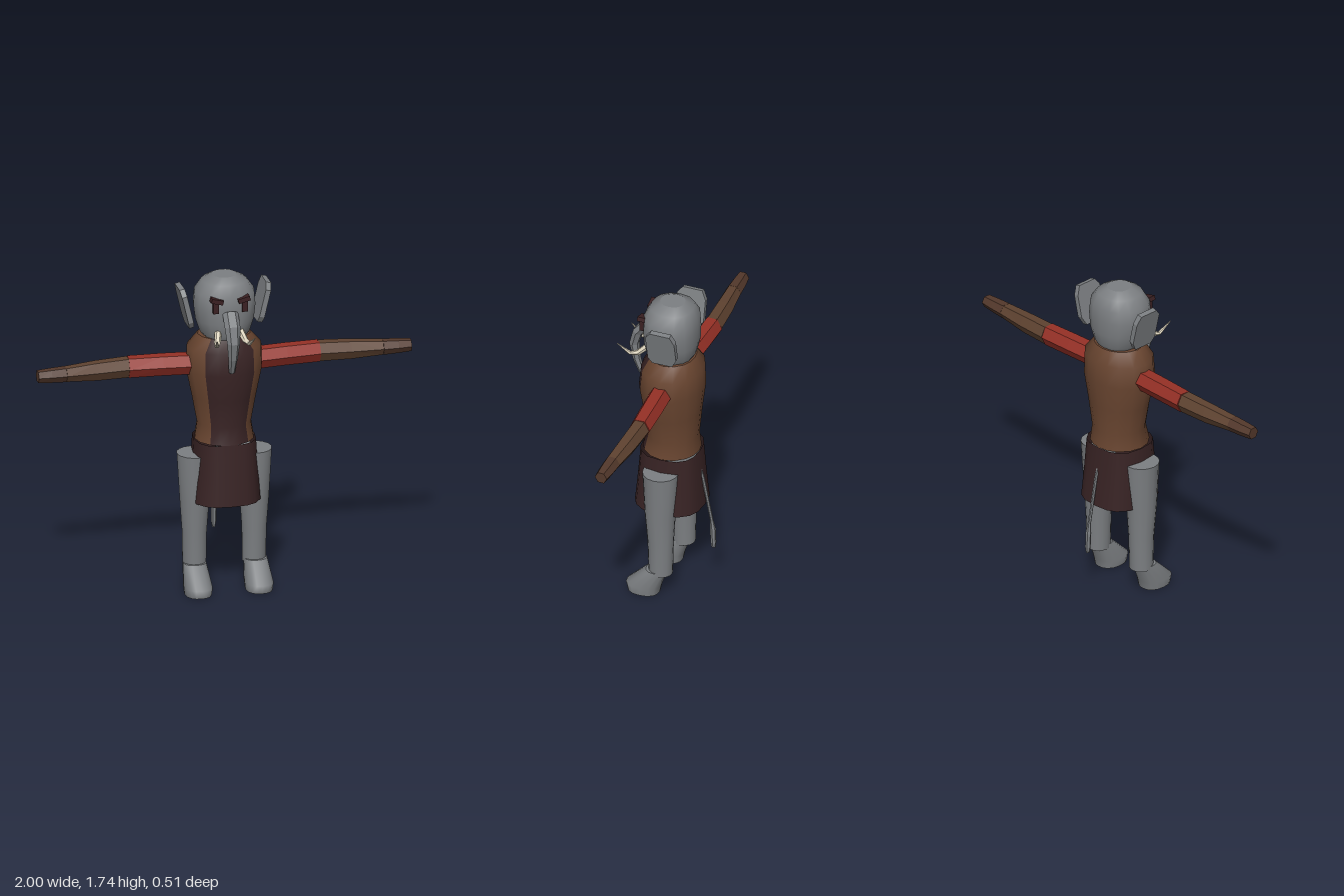
import * as THREE from 'three';

const mat = (name, color, side = THREE.FrontSide) => {
  const m = new THREE.MeshStandardMaterial({ color, side });
  m.name = name;
  return m;
};

// Skin a list of equal rings, with closed ends; faces of chosen columns can use a second material
function loft(rings, { flat = false, caps = [true, true], column = () => 0 } = {}) {
  const n = rings[0].length, pos = [], faces = [[], []];
  rings.forEach(r => r.forEach(p => pos.push(p.x, p.y, p.z)));
  for (let i = 0; i < rings.length - 1; i++) {
    for (let j = 0; j < n; j++) {
      const k = (j + 1) % n, a = i * n + j, b = i * n + k, c = b + n, d = a + n;
      faces[column(j)].push(a, b, c, a, c, d);
    }
  }
  [rings[0], rings[rings.length - 1]].forEach((r, end) => {
    if (!caps[end]) return;
    const base = pos.length / 3;
    r.forEach(p => pos.push(p.x, p.y, p.z));
    for (let j = 1; j < n - 1; j++) {
      faces[0].push(base, base + (end ? j : j + 1), base + (end ? j + 1 : j));
    }
  });
  let g = new THREE.BufferGeometry();
  g.setAttribute('position', new THREE.Float32BufferAttribute(pos, 3));
  g.setIndex([...faces[0], ...faces[1]]);
  if (faces[1].length) {
    g.addGroup(0, faces[0].length, 0);
    g.addGroup(faces[0].length, faces[1].length, 1);
  }
  if (flat) g = g.toNonIndexed();
  g.computeVertexNormals();
  return g;
}

// Level rings from rows of [y, half width, front z, back z]; e below 1 makes them boxier
const ANGLES = [0, 20, 40, 65, 90, 115, 140, 160, 180, 200, 220, 245, 270, 295, 320, 340];
const power = (v, e) => Math.sign(v) * Math.abs(v) ** e;
function levels(rows, e = 1, cx = 0) {
  return rows.map(([y, rx, zf, zb]) => ANGLES.map(deg => {
    const a = THREE.MathUtils.degToRad(deg);
    return new THREE.Vector3(cx + rx * power(Math.sin(a), e), y,
      (zf + zb) / 2 + (zf - zb) / 2 * power(Math.cos(a), e));
  }));
}

// Tapered limb along rows of [x, y, z, radius along axis, radius across]
function limb(rows, sides, axis, flat = true) {
  const pts = rows.map(r => new THREE.Vector3(r[0], r[1], r[2]));
  return loft(pts.map((p, i) => {
    const t = pts[Math.min(i + 1, pts.length - 1)].clone().sub(pts[Math.max(i - 1, 0)]).normalize();
    const u = axis.clone().addScaledVector(t, -axis.dot(t)).normalize();
    const v = t.clone().cross(u);
    return Array.from({ length: sides }, (_, j) => {
      const a = j / sides * Math.PI * 2;
      return p.clone().addScaledVector(u, rows[i][3] * Math.cos(a))
        .addScaledVector(v, rows[i][4] * Math.sin(a));
    });
  }), { flat });
}

// Mirrored copy with the corner order turned back
function mirrorX(geo) {
  const g = geo.clone().scale(-1, 1, 1);
  const idx = g.index ? Array.from(g.index.array)
    : Array.from({ length: g.attributes.position.count }, (_, i) => i);
  for (let i = 0; i < idx.length; i += 3) [idx[i + 1], idx[i + 2]] = [idx[i + 2], idx[i + 1]];
  g.setIndex(idx);
  return g;
}

export function createModel() {
  const model = new THREE.Group();
  model.name = 'elephantFigure';
  const skin = mat('greySkin', 0x7c7f82);
  const leather = mat('brownLeather', 0x694530);
  const apron = mat('darkApron', 0x382324, THREE.DoubleSide);
  const sleeve = mat('redSleeve', 0x953026);
  const wrap = mat('forearmWrap', 0x5e4230);
  const glove = mat('gloveBrown', 0x53382b);
  const ivory = mat('ivory', 0xd9d0ba);
  const dark = mat('eyeDark', 0x3a2022);

  const X = new THREE.Vector3(1, 0, 0), Z = new THREE.Vector3(0, 0, 1);
  const add = (name, geo, material) => {
    const m = new THREE.Mesh(geo, material);
    m.name = name;
    model.add(m);
  };
  const pair = (name, geo, material) => {
    add(name + 'Left', geo, material);
    add(name + 'Right', mirrorX(geo), material);
  };

  // Torso with the apron panel on its front columns
  add('torso', loft(levels([
    [0.83, 0.158, 0.14, -0.165],
    [0.92, 0.144, 0.118, -0.155],
    [1.07, 0.172, 0.135, -0.168],
    [1.22, 0.203, 0.157, -0.185],
    [1.34, 0.2, 0.145, -0.18],
    [1.41, 0.14, 0.105, -0.14],
  ]), { column: j => (j < 2 || j > 13 ? 1 : 0) }), [leather, apron]);

  // Skirt, open below
  add('skirt', loft(levels([
    [0.5, 0.185, 0.172, -0.197],
    [0.66, 0.173, 0.157, -0.182],
    [0.832, 0.163, 0.143, -0.168],
  ], 0.75), { caps: [false, false] }), apron);

  // Head
  add('head', loft(levels([
    [1.395, 0.105, 0.1, -0.12],
    [1.43, 0.132, 0.12, -0.14],
    [1.5, 0.155, 0.133, -0.155],
    [1.58, 0.165, 0.135, -0.157],
    [1.65, 0.158, 0.13, -0.153],
    [1.705, 0.118, 0.1, -0.128],
    [1.735, 0.062, 0.05, -0.08],
  ], 0.88)), skin);

  // Ears: chamfered slabs leaning outward
  const earShape = new THREE.Shape([
    [0.052, 0.11], [-0.058, 0.11], [-0.08, 0.06], [-0.08, -0.06],
    [-0.052, -0.11], [0.058, -0.11], [0.08, -0.075], [0.08, 0.075],
  ].map(p => new THREE.Vector2(...p)));
  const ear = new THREE.ExtrudeGeometry(earShape, { depth: 0.028, bevelEnabled: false });
  ear.translate(0, 0, -0.014).rotateY(-Math.PI / 2).rotateZ(-0.23).translate(0.207, 1.568, -0.035);
  pair('ear', ear, skin);

  // Trunk
  add('trunk', limb([
    [0, 1.565, 0.125, 0.042, 0.026],
    [0, 1.5, 0.178, 0.042, 0.028],
    [0, 1.42, 0.2, 0.034, 0.026],
    [0, 1.33, 0.187, 0.025, 0.021],
    [0, 1.247, 0.16, 0.016, 0.014],
  ], 6, X), skin);

  // Tusks
  pair('tusk', limb([
    [0.06, 1.455, 0.105, 0.018, 0.018],
    [0.075, 1.415, 0.15, 0.017, 0.015],
    [0.087, 1.41, 0.19, 0.012, 0.01],
    [0.102, 1.463, 0.257, 0.002, 0.002],
  ], 6, X), ivory);

  // Eyes and slanting brows
  pair('eye', new THREE.BoxGeometry(0.03, 0.062, 0.04).translate(0.077, 1.6, 0.115), dark);
  pair('brow', new THREE.BoxGeometry(0.064, 0.024, 0.05).rotateZ(0.25).translate(0.072, 1.637, 0.119), dark);

  // Six-sided arms: sleeve, forearm, glove
  pair('upperArm', limb([
    [0.15, 1.25, -0.015, 0.06, 0.06],
    [0.33, 1.253, -0.025, 0.06, 0.06],
    [0.51, 1.253, -0.033, 0.056, 0.06],
  ], 6, Z), sleeve);
  pair('forearm', limb([
    [0.51, 1.253, -0.033, 0.053, 0.058],
    [0.68, 1.25, -0.026, 0.05, 0.055],
    [0.85, 1.25, -0.014, 0.043, 0.042],
  ], 6, Z), wrap);
  pair('hand', limb([
    [0.85, 1.25, -0.014, 0.044, 0.043],
    [0.93, 1.25, -0.012, 0.041, 0.039],
    [1.0, 1.25, -0.01, 0.034, 0.034],
  ], 6, Z), glove);

  // Legs and forward-leaning feet
  pair('leg', loft(levels([
    [0.13, 0.063, 0.052, -0.075],
    [0.32, 0.066, 0.058, -0.08],
    [0.5, 0.079, 0.073, -0.09],
    [0.755, 0.094, 0.085, -0.105],
  ], 1, 0.16)), skin);
  pair('foot', loft(levels([
    [0, 0.07, 0.165, -0.006],
    [0.045, 0.075, 0.175, -0.015],
    [0.15, 0.062, 0.064, -0.052],
  ], 0.85, 0.163)), skin);

  // Tail and tuft
  add('tail', limb([
    [0, 0.76, -0.155, 0.009, 0.009],
    [0, 0.66, -0.185, 0.009, 0.009],
    [0, 0.38, -0.238, 0.009, 0.009],
  ], 6, X), skin);
  add('tailTuft', limb([
    [0, 0.405, -0.233, 0.009, 0.01],
    [0, 0.35, -0.24, 0.015, 0.016],
    [0, 0.27, -0.243, 0.014, 0.015],
    [0, 0.24, -0.243, 0.008, 0.012],
  ], 6, X), skin);

  return model;
}
